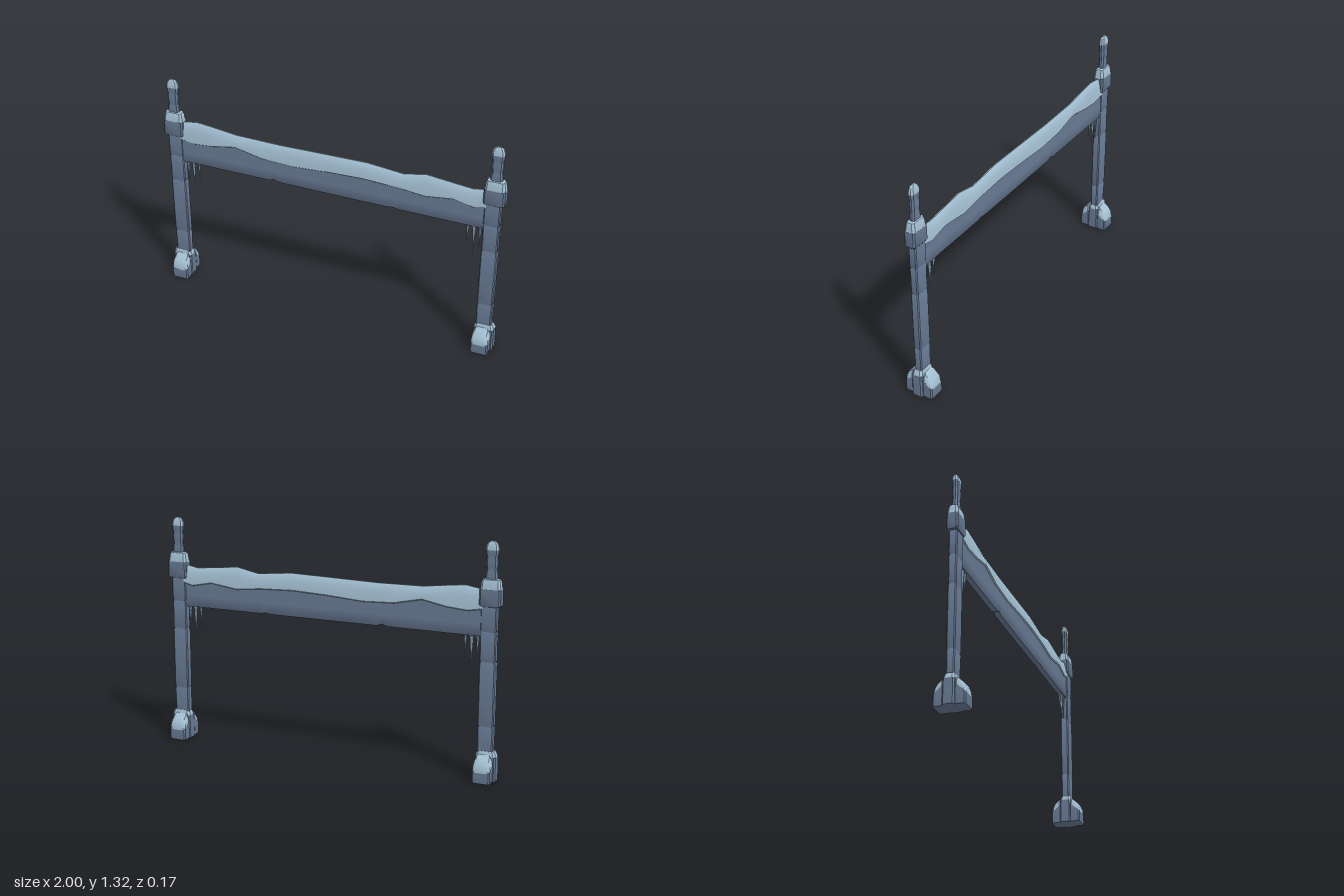
import * as THREE from 'three';
import { toCreasedNormals } from 'three/addons/utils/BufferGeometryUtils.js';

const makeMaterial = (name, color) => {
  const m = new THREE.MeshStandardMaterial({ color });
  m.name = name;
  return m;
};

// Skin a closed solid through rings of equal point count, faces outward
function skin(rings, crease = 0.6) {
  const n = rings[0].length, tris = [];
  for (let r = 0; r < rings.length - 1; r++) {
    for (let i = 0; i < n; i++) {
      const j = (i + 1) % n;
      const a = rings[r][i], b = rings[r][j], c = rings[r + 1][j], d = rings[r + 1][i];
      tris.push([a, b, c], [a, c, d]);
    }
  }
  const first = rings[0], last = rings[rings.length - 1];
  for (let i = 1; i < n - 1; i++) {
    tris.push([first[0], first[i + 1], first[i]], [last[0], last[i], last[i + 1]]);
  }
  const volume = tris.reduce((v, [a, b, c]) => v + a.dot(b.clone().cross(c)), 0);
  const points = tris.flatMap(([a, b, c]) => (volume < 0 ? [a, c, b] : [a, b, c]));
  const g = new THREE.BufferGeometry().setFromPoints(points);
  return toCreasedNormals(g, crease);
}

// Upright block from chamfered rectangles: [y, halfX, halfZ, centreZ, tilt]
function block(sections, bevel = 0.25) {
  return skin(sections.map(([y, hx, hz, cz = 0, tilt = 0]) => {
    const c = Math.min(hx, hz) * bevel;
    return [[hx, hz - c], [hx - c, hz], [c - hx, hz], [-hx, hz - c],
      [-hx, c - hz], [c - hx, -hz], [hx - c, -hz], [hx, c - hz]]
      .map(([x, z]) => new THREE.Vector3(x, y + tilt * z, z + cz));
  }));
}

// Linear lookup in a list of [x, value]
function sample(curve, x) {
  for (let i = 1; i < curve.length; i++) {
    const [x0, v0] = curve[i - 1], [x1, v1] = curve[i];
    if (x <= x1) return v0 + (v1 - v0) * Math.max(0, (x - x0) / (x1 - x0));
  }
  return curve[curve.length - 1][1];
}

export function createModel() {
  const stone = makeMaterial('slate stone', 0x697b95);
  const snow = makeMaterial('pale snow', 0xa3bfd2);
  const ice = makeMaterial('ice', 0x8499b0);
  const model = new THREE.Group();
  model.name = 'snowyGate';
  const add = (parent, name, geometry, material) => {
    const mesh = new THREE.Mesh(geometry, material);
    mesh.name = name;
    parent.add(mesh);
    return mesh;
  };

  // Pillar shaft, stacked stones with narrow seams
  const seams = [0.1, 0.305, 0.665, 0.83, 1.0];
  const shaft = [];
  for (let i = 0; i < seams.length - 1; i++) {
    const a = seams[i], b = seams[i + 1], bulge = i % 2 ? 0.001 : -0.001;
    shaft.push([a + 0.001, 0.041, 0.02], [a + 0.009, 0.045, 0.023],
      [(a + b) / 2, 0.044 + bulge, 0.0225 + bulge],
      [b - 0.009, 0.045, 0.023], [b - 0.001, 0.041, 0.02]);
  }
  const shaftGeo = block(shaft);

  // Collar near the pillar top
  const collarGeo = block([[0.968, 0.054, 0.028], [0.976, 0.059, 0.033], [1.062, 0.058, 0.032]]);
  const collarSnowGeo = block([[1.06, 0.058, 0.032], [1.07, 0.055, 0.031],
    [1.1, 0.052, 0.027], [1.113, 0.047, 0.022], [1.118, 0.035, 0.012]], 0.4);

  // Knobbly finial with snowy tip
  const finialGeo = block([[1.1, 0.031, 0.015], [1.125, 0.034, 0.016], [1.15, 0.032, 0.015],
    [1.17, 0.027, 0.013], [1.19, 0.032, 0.016], [1.215, 0.032, 0.016],
    [1.235, 0.029, 0.014], [1.25, 0.035, 0.017], [1.272, 0.036, 0.017]], 0.6);
  const finialSnowGeo = block([[1.27, 0.036, 0.0175], [1.29, 0.034, 0.016],
    [1.307, 0.026, 0.011], [1.318, 0.012, 0.005]], 0.6);

  // Footing: central plinth and two sloped buttresses
  const plinthGeo = block([[0, 0.059, 0.032], [0.012, 0.06, 0.033], [0.137, 0.058, 0.032]]);
  const plinthSnowGeo = block([[0.136, 0.058, 0.032], [0.155, 0.053, 0.029], [0.168, 0.045, 0.024]], 0.4);
  const footing = (s) => [
    block([[0, 0.049, 0.029, 0.056 * s], [0.01, 0.051, 0.031, 0.056 * s],
      [0.088, 0.05, 0.03, 0.056 * s, -0.9 * s]]),
    block([[0.087, 0.05, 0.03, 0.056 * s, -0.9 * s], [0.112, 0.047, 0.028, 0.056 * s, -0.9 * s],
      [0.132, 0.036, 0.021, 0.054 * s, -0.9 * s]], 0.4),
  ];

  for (const side of [1, -1]) {
    const post = new THREE.Group();
    post.name = side > 0 ? 'leftPost' : 'rightPost';
    post.position.x = 0.94 * side;
    post.rotation.y = side > 0 ? 0 : Math.PI;
    add(post, 'shaft', shaftGeo, stone).position.x = -0.006;
    add(post, 'collar', collarGeo, stone);
    add(post, 'collarSnow', collarSnowGeo, snow);
    add(post, 'finial', finialGeo, stone);
    add(post, 'finialSnow', finialSnowGeo, snow);
    add(post, 'plinth', plinthGeo, stone);
    add(post, 'plinthSnow', plinthSnowGeo, snow);
    for (const s of [1, -1]) {
      const [base, top] = footing(s);
      add(post, 'buttress', base, stone).position.x = -0.005;
      add(post, 'buttressSnow', top, snow).position.x = -0.005;
    }
    // Icicles under the beam end
    for (const [x, tip, r] of [[0.872, 0.64, 0.011], [0.838, 0.6, 0.013], [0.803, 0.66, 0.01]]) {
      const profile = [[0, 0], [0.3, 0.4], [0.55, 0.65], [1, 1]]
        .map(([k, t]) => new THREE.Vector2(k * r, (0.81 - tip) * t));
      add(post, 'icicle', new THREE.LatheGeometry(profile, 7), ice).position.set(x - 0.94, tip, 0);
    }
    model.add(post);
  }

  // Snow outline along the beam
  const snowTop = [[-0.9, 1.055], [-0.8, 1.072], [-0.72, 1.064], [-0.56, 1.044], [-0.3, 1.04],
    [0, 1.046], [0.22, 1.05], [0.43, 1.03], [0.56, 1.057], [0.7, 1.042], [0.82, 1.031], [0.9, 1.047]];
  const snowEdge = [[-0.9, 0.95], [-0.82, 0.935], [-0.7, 0.945], [-0.56, 0.972], [-0.4, 0.937],
    [-0.22, 0.929], [0, 0.944], [0.2, 0.952], [0.4, 0.944], [0.56, 0.928], [0.72, 0.95],
    [0.84, 0.925], [0.9, 0.94]];
  // Beam underside chips and worn hollows
  const underside = [[-0.9, 0.803], [-0.36, 0.803], [-0.33, 0.814], [-0.3, 0.803],
    [0.35, 0.803], [0.38, 0.809], [0.41, 0.803], [0.9, 0.803]];
  const hollow = [[-0.9, 0], [-0.7, 0.003], [-0.54, 0.006], [-0.33, 0], [-0.1, 0.001],
    [0.18, 0.006], [0.38, 0], [0.56, 0.006], [0.74, 0], [0.9, 0.004]];
  const stations = [...new Set([...snowTop, ...snowEdge, ...underside, ...hollow].map(([x]) => x))]
    .sort((a, b) => a - b);
  const mirrorRing = (x, half) => [...half, ...half.slice().reverse().map(([z, y]) => [-z, y])]
    .map(([z, y]) => new THREE.Vector3(x, y, z));

  add(model, 'beam', skin(stations.map((x) => {
    const y = sample(underside, x), top = sample(snowEdge, x) + 0.02, h = sample(hollow, x);
    return mirrorRing(x, [[0.016, y], [0.02, y + 0.006], [0.021 - h, 0.87], [0.02, top]]);
  }), 0.7), stone);

  add(model, 'beamSnow', skin(stations.map((x) => {
    const y = sample(snowEdge, x), top = sample(snowTop, x);
    return mirrorRing(x, [[0.019, y], [0.026, y + 0.006], [0.025, y + 0.025],
      [0.019, y + (top - y) * 0.6], [0.01, top - 0.008], [0.003, top]]);
  }), 0.7), snow);

  return model;
}
